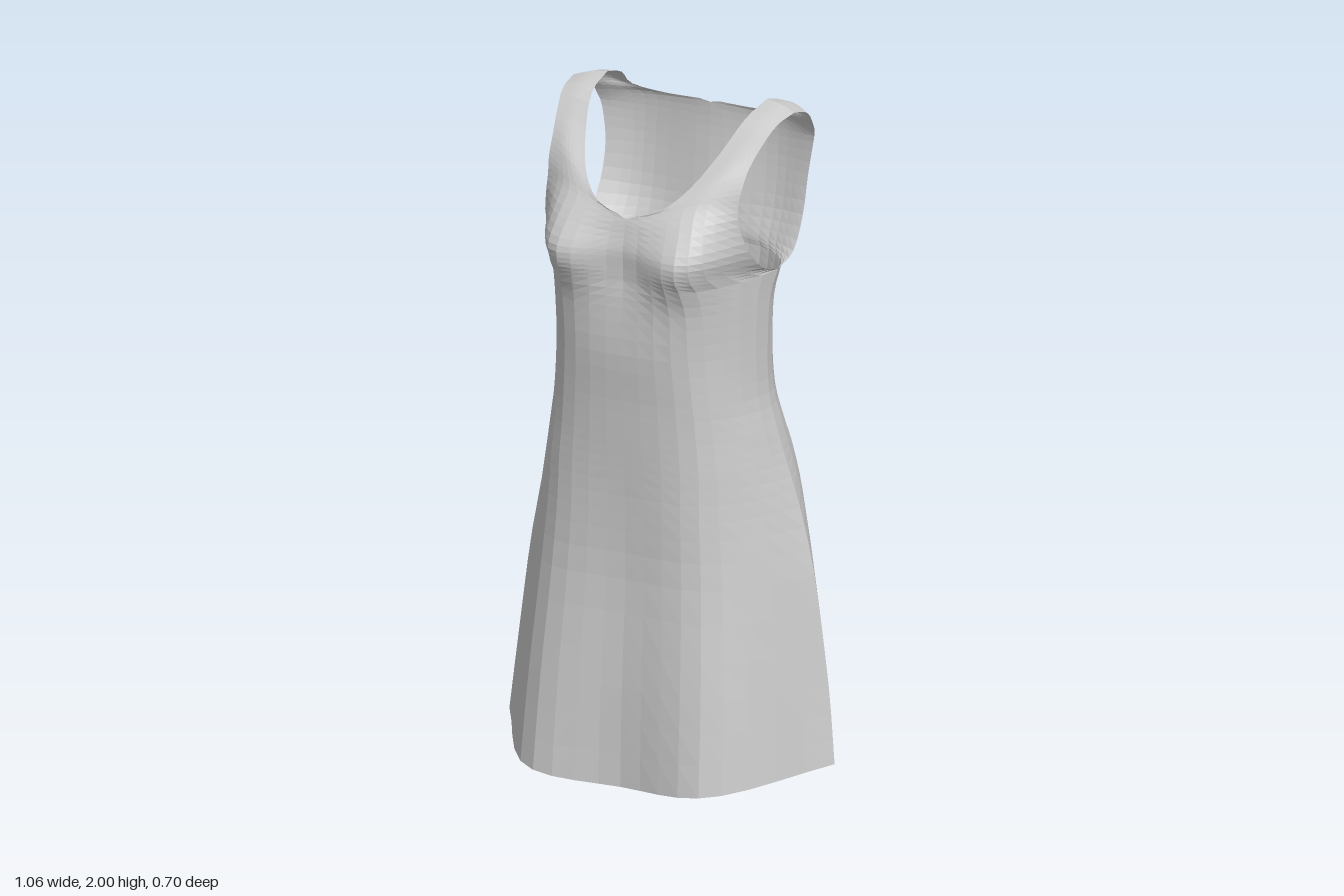
import * as THREE from 'three';

const COLS = 9, SUB = 3;
const V = (x, y, z) => new THREE.Vector3(x, y, z);

// Skirt and waist rings: y, side x, side z, then for front and back:
// centre z, corner x, corner z; last value is the roundness at the side seam
const RINGS = [
  [0.00, 0.53, 0.01, 0.315, 0.30, 0.33, -0.305, 0.22, -0.335, 0],
  [0.30, 0.505, 0.00, 0.305, 0.29, 0.30, -0.30, 0.23, -0.318, 0.1],
  [0.62, 0.46, 0.00, 0.285, 0.27, 0.265, -0.29, 0.23, -0.293, 0.3],
  [0.82, 0.412, 0.00, 0.285, 0.255, 0.255, -0.275, 0.22, -0.277, 0.6],
  [0.95, 0.375, 0.01, 0.29, 0.25, 0.25, -0.25, 0.22, -0.245, 0.8],
  [1.05, 0.35, 0.02, 0.295, 0.24, 0.25, -0.215, 0.21, -0.20, 1],
  [1.16, 0.328, 0.03, 0.30, 0.23, 0.255, -0.185, 0.21, -0.155, 1],
  [1.30, 0.323, 0.03, 0.31, 0.22, 0.265, -0.17, 0.21, -0.135, 1],
  [1.44, 0.325, 0.02, 0.305, 0.22, 0.28, -0.173, 0.21, -0.145, 1],
  [1.52, 0.332, -0.015, 0.297, 0.215, 0.31, -0.18, 0.21, -0.16, 1],
];

// Bodice rows above the underarm: neck-side point, middle point, armhole point
const FRONT = [
  [0, 1.56, 0.298, 0.21, 1.56, 0.335, 0.335, 1.55, 0.08],
  [0, 1.61, 0.30, 0.21, 1.61, 0.338, 0.33, 1.62, 0.155],
  [0, 1.66, 0.29, 0.20, 1.68, 0.297, 0.315, 1.70, 0.183],
  [0, 1.70, 0.28, 0.19, 1.745, 0.25, 0.31, 1.76, 0.18],
  [0.10, 1.735, 0.265, 0.215, 1.785, 0.22, 0.315, 1.81, 0.165],
  [0.17, 1.80, 0.21, 0.25, 1.84, 0.175, 0.32, 1.86, 0.135],
  [0.22, 1.89, 0.12, 0.28, 1.91, 0.10, 0.335, 1.92, 0.08],
  [0.25, 1.97, 0.03, 0.30, 1.972, 0.025, 0.35, 1.965, 0.02],
  [0.26, 2.00, -0.08, 0.31, 1.995, -0.07, 0.36, 1.98, -0.06],
];
const BACK = [
  [0, 1.55, -0.182, 0.20, 1.55, -0.17, 0.335, 1.55, -0.10],
  [0, 1.63, -0.19, 0.20, 1.63, -0.20, 0.33, 1.64, -0.165],
  [0, 1.74, -0.205, 0.20, 1.75, -0.22, 0.33, 1.75, -0.195],
  [0, 1.84, -0.215, 0.20, 1.84, -0.226, 0.345, 1.85, -0.20],
  [0, 1.91, -0.215, 0.20, 1.90, -0.222, 0.355, 1.89, -0.188],
  [0.13, 1.915, -0.212, 0.25, 1.918, -0.205, 0.358, 1.92, -0.17],
  [0.245, 1.93, -0.20, 0.305, 1.942, -0.185, 0.36, 1.945, -0.15],
  [0.258, 1.975, -0.16, 0.31, 1.975, -0.15, 0.36, 1.965, -0.12],
  [0.26, 2.00, -0.08, 0.31, 1.995, -0.07, 0.36, 1.98, -0.06],
];

// Smooth a three-point row from the centre (or neck edge) to the side
function rowPoints(inner, mid, outer, round) {
  const start = inner.x === 0 ? V(-mid.x, mid.y, mid.z) : inner.clone().multiplyScalar(2).sub(mid);
  const straight = outer.clone().multiplyScalar(2).sub(mid);
  const end = straight.lerp(V(mid.x, mid.y, 2 * outer.z - mid.z), round);
  const curve = new THREE.CatmullRomCurve3([start, inner, mid, outer, end], false, 'catmullrom', 0.5);
  return Array.from({ length: COLS + 1 }, (_, i) => curve.getPoint(0.25 + 0.5 * i / COLS));
}

// One quarter of a skirt ring; the hem sinks towards the centre
function ringRow(r, isFront) {
  const [y, sx, sz] = r, [cz, mx, mz] = isFront ? r.slice(3, 6) : r.slice(6, 9);
  const hem = y === 0 ? [0.005, 0.025, 0.07] : [y, y, y];
  return rowPoints(V(0, hem[0], cz), V(mx, hem[1], mz), V(sx, hem[2], sz), r[9]);
}

const panelRow = r => rowPoints(V(...r.slice(0, 3)), V(...r.slice(3, 6)), V(...r.slice(6, 9)), 0);

// Loft the rows upwards into a surface; side mirrors it in x
function loft(rows, side, isFront) {
  const pos = [], idx = [], steps = (rows.length - 1) * SUB;
  for (let c = 0; c <= COLS; c++) {
    const column = new THREE.CatmullRomCurve3(rows.map(r => r[c]), false, 'catmullrom', 0.5);
    for (let j = 0; j <= steps; j++) {
      const p = column.getPoint(j / steps);
      pos.push(side * Math.max(0, p.x), p.y, p.z);
    }
  }
  const flip = (side > 0) !== isFront;
  for (let c = 0; c < COLS; c++) {
    for (let j = 0; j < steps; j++) {
      const a = c * (steps + 1) + j, b = a + steps + 1;
      if (flip) idx.push(a, a + 1, b, b, a + 1, b + 1);
      else idx.push(a, b, a + 1, b, b + 1, a + 1);
    }
  }
  const g = new THREE.BufferGeometry();
  g.setAttribute('position', new THREE.Float32BufferAttribute(pos, 3));
  g.setIndex(idx);
  g.computeVertexNormals();
  return g;
}

export function createModel() {
  const dress = new THREE.Group();
  dress.name = 'dress';
  const cloth = new THREE.MeshStandardMaterial({ color: 0xcccccc, flatShading: true, side: THREE.DoubleSide });
  for (const isFront of [true, false]) {
    const rings = RINGS.map(r => ringRow(r, isFront));
    // The bodice starts on the top ring and runs up into the shoulder straps
    const bodice = [rings[rings.length - 1], ...(isFront ? FRONT : BACK).map(panelRow)];
    for (const side of [1, -1]) {
      const label = (isFront ? 'Front' : 'Back') + (side > 0 ? 'Left' : 'Right');
      const skirt = new THREE.Mesh(loft(rings, side, isFront), cloth);
      skirt.name = 'skirt' + label;
      const top = new THREE.Mesh(loft(bodice, side, isFront), cloth);
      top.name = 'bodiceAndStrap' + label;
      dress.add(skirt, top);
    }
  }
  return dress;
}
